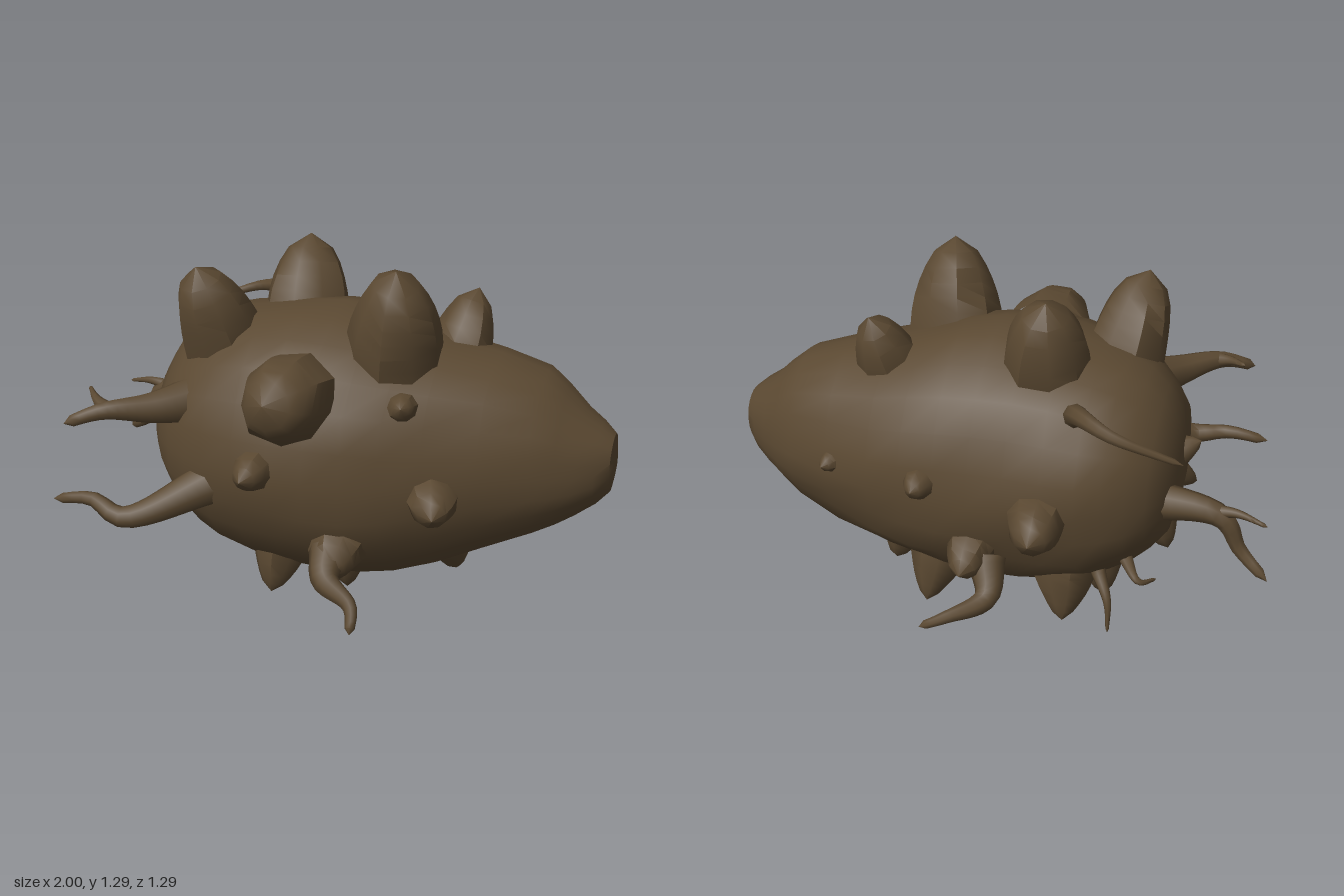
import * as THREE from 'three';
import { toCreasedNormals } from 'three/addons/utils/BufferGeometryUtils.js';

const bark = new THREE.MeshStandardMaterial({ color: 0x5a4831 });
bark.name = 'barkBrown';
const V = (p) => new THREE.Vector3(...p);

// Gentle unevenness, the same at the same place
const wobble = (x, y, z) =>
  Math.sin(x * 9 + y * 5 + 1) * Math.sin(y * 8 - z * 6) * 0.6 + Math.sin(z * 13 + x * 6 + 2) * Math.cos(y * 11 - x * 4) * 0.4;

function add(group, name, geometry, crease) {
  const mesh = new THREE.Mesh(toCreasedNormals(geometry, crease), bark);
  mesh.name = name;
  group.add(mesh);
}

// Body from cross-sections: x, top, bottom, back, front
function bodyGeometry() {
  const S = [
    [-0.66, 0.6, 0.6, 0, 0], [-0.625, 0.84, 0.38, -0.24, 0.25], [-0.51, 0.98, 0.24, -0.36, 0.39],
    [-0.35, 1.05, 0.14, -0.42, 0.46], [-0.1, 1.09, 0.09, -0.44, 0.5], [0.15, 1.07, 0.09, -0.44, 0.46],
    [0.4, 1.0, 0.15, -0.41, 0.36], [0.74, 0.9, 0.3, -0.32, 0.21], [0.88, 0.78, 0.39, -0.23, 0.12],
    [0.985, 0.7, 0.49, -0.14, 0.03], [1, 0.6, 0.6, -0.05, -0.05],
  ];
  const mid = new THREE.CatmullRomCurve3(S.map(([x, t, b, k, f]) => V([x, (t + b) / 2, (k + f) / 2])));
  const rad = new THREE.CatmullRomCurve3(S.map(([x, t, b, k, f]) => V([(t - b) / 2, (f - k) / 2, x])));
  const rings = (S.length - 1) * 2, sides = 24, pos = [], idx = [];
  for (let i = 0; i <= rings; i++) {
    const c = mid.getPoint(i / rings), r = rad.getPoint(i / rings);
    for (let j = 0; j < sides; j++) {
      const a = (j / sides) * Math.PI * 2, cy = Math.cos(a), cz = Math.sin(a);
      const k = 1 + 0.04 * wobble(c.x, cy * 0.6, cz * 0.6);
      pos.push(c.x, c.y + cy * r.x * k, c.z + cz * r.y * k);
      if (i === rings) continue;
      const p = i * sides + j, q = i * sides + (j + 1) % sides;
      idx.push(p, q, p + sides, q, q + sides, p + sides);
    }
  }
  const g = new THREE.BufferGeometry();
  g.setAttribute('position', new THREE.Float32BufferAttribute(pos, 3));
  g.setIndex(idx);
  return g;
}

// Lump pointing away from the body's core; blunt 0 is a spike, 1 a round knob, level 1 lies flat
function lumpGeometry(tip, r, h, blunt, level) {
  const core = V([tip.x * 0.75, 0.6 + level * (tip.y - 0.6), 0.02]);
  const dir = tip.clone().sub(core).normalize();
  const base = tip.clone().addScaledVector(dir, -h);
  const profile = [];
  for (let i = 0; i <= 7; i++) {
    const t = i / 7, spike = Math.pow(1 - t, 1.1), knob = Math.pow(1 - Math.pow(t, 2.6), 0.55);
    profile.push(new THREE.Vector2(r * (spike + (knob - spike) * blunt), t * h));
  }
  const g = new THREE.LatheGeometry(profile, 9);
  const p = g.attributes.position;
  for (let i = 0; i < p.count; i++) {
    const x = p.getX(i), y = p.getY(i), z = p.getZ(i);
    const k = 1 + 0.1 * wobble((x / r) * 0.3 + base.x * 3, (y / h) * 0.3, (z / r) * 0.3 + base.z * 3);
    p.setXYZ(i, x * k, y, z * k);
  }
  g.applyQuaternion(new THREE.Quaternion().setFromUnitVectors(V([0, 1, 0]), dir));
  return g.translate(base.x, base.y, base.z);
}

// Tapering root along a path
function rootGeometry(path, radius) {
  const curve = new THREE.CatmullRomCurve3(path.map(V)), n = 16, sides = 8;
  const g = new THREE.TubeGeometry(curve, n, 1, sides, false), p = g.attributes.position;
  const v = new THREE.Vector3();
  for (let i = 0; i < p.count; i++) {
    const t = Math.floor(i / (sides + 1)) / n, c = curve.getPointAt(t);
    const r = t === 1 ? 0.0005 : radius * (0.22 + 0.78 * Math.pow(1 - t, 1.5));
    v.fromBufferAttribute(p, i).sub(c).multiplyScalar(r).add(c);
    p.setXYZ(i, v.x, v.y, v.z);
  }
  return g;
}

export function createModel() {
  const group = new THREE.Group();
  group.name = 'tuberCreature';
  add(group, 'body', bodyGeometry(), 0.6);

  // Each lump: tip x, y, z and radius
  const lumps = (name, height, blunt, level, list) => list.forEach(([x, y, z, r], i) =>
    add(group, name + (i + 1), lumpGeometry(V([x, y, z]), r, height, blunt, level), 0.7));
  lumps('topKnob', 0.36, 0.9, 0, [
    [-0.44, 1.24, 0.25, 0.15], [-0.18, 1.27, -0.18, 0.16], [0.27, 1.29, 0.22, 0.165], [0.45, 1.13, -0.19, 0.13],
  ]);
  lumps('sideKnob', 0.25, 0.85, 0.5, [
    [-0.05, 0.92, 0.61, 0.165], [-0.15, 0.62, 0.59, 0.09], [0.48, 0.52, 0.45, 0.105], [0.13, 0.28, 0.51, 0.12],
    [-0.24, 0.57, -0.58, 0.115], [0.02, 0.36, -0.53, 0.1],
  ]);
  lumps('wart', 0.13, 0.7, 0.5, [
    [0.34, 0.87, 0.37, 0.065], [0.2, 0.65, -0.5, 0.07], [0.57, 0.63, -0.41, 0.055],
  ]);
  lumps('rearSpike', 0.17, 0.4, 0, [
    [-0.7, 0.72, 0.02, 0.09], [-0.68, 0.48, 0.13, 0.08], [-0.62, 0.29, -0.05, 0.1],
  ]);
  lumps('bellySpike', 0.22, 0.45, 0, [
    [-0.16, 0.05, 0.31, 0.125], [0.06, 0, 0.1, 0.11], [0.23, 0.04, -0.3, 0.12],
    [0.43, 0.05, -0.09, 0.12], [-0.4, 0.07, -0.1, 0.12], [-0.29, 0.06, -0.29, 0.13], [-0.2, 0.05, 0, 0.1],
  ]);

  // Each root: start radius and path
  const roots = (name, list) => list.forEach(([r, ...path], i) => add(group, name + (i + 1), rootGeometry(path, r), 0.9));
  roots('root', [
    [0.095, [-0.42, 0.77, 0.28], [-0.54, 0.77, 0.42], [-0.68, 0.78, 0.53], [-0.8, 0.74, 0.59]],
    [0.085, [-0.33, 0.51, 0.38], [-0.6, 0.41, 0.58], [-0.73, 0.45, 0.56], [-0.88, 0.43, 0.57]],
    [0.085, [-0.5, 0.57, -0.17], [-0.82, 0.56, -0.19], [-0.89, 0.44, -0.19], [-1, 0.36, -0.24]],
    [0.05, [-0.3, 0.88, -0.22], [-0.35, 0.97, -0.36], [-0.48, 0.96, -0.44], [-0.71, 0.88, -0.41]],
    [0.075, [0.11, 0.32, 0.42], [0.13, 0.27, 0.52], [0.24, 0.22, 0.58], [0.26, 0.15, 0.64]],
    [0.07, [-0.04, 0.36, -0.4], [-0.07, 0.27, -0.5], [0.04, 0.24, -0.61], [0.13, 0.2, -0.64]],
  ]);
  roots('twig', [
    [0.032, [-0.66, 0.78, 0.52], [-0.72, 0.8, 0.49], [-0.78, 0.82, 0.43]],
    [0.032, [-0.76, 0.57, -0.19], [-0.87, 0.59, -0.2], [-0.98, 0.57, -0.22]],
    [0.028, [-0.42, 0.32, -0.3], [-0.47, 0.24, -0.36], [-0.48, 0.12, -0.38]],
    [0.028, [-0.5, 0.36, -0.24], [-0.57, 0.32, -0.32], [-0.62, 0.3, -0.26]],
  ]);
  return group;
}
